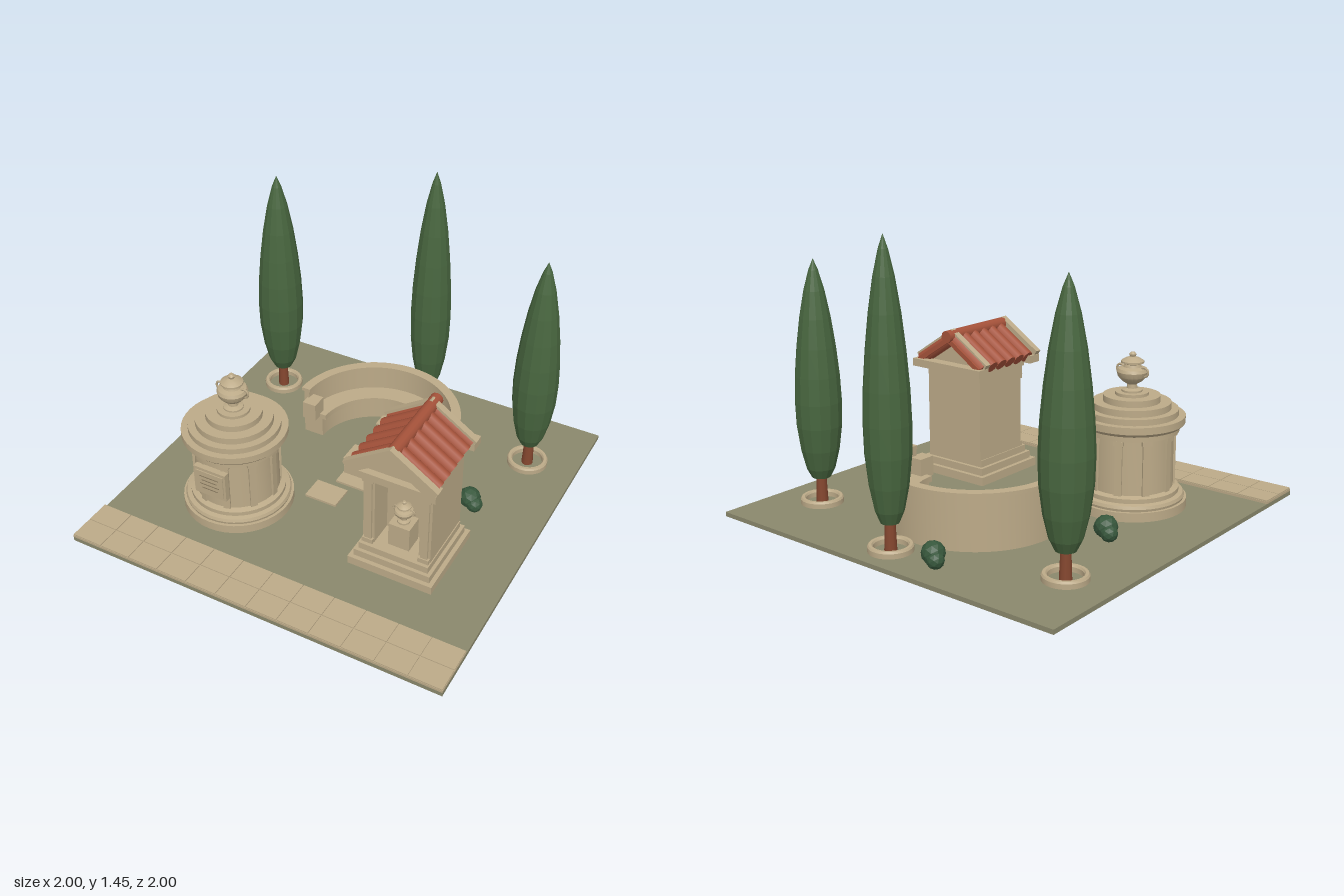
import * as THREE from 'three';
import { toCreasedNormals } from 'three/addons/utils/BufferGeometryUtils.js';

const mat = (name, color, flat = false) => {
  const m = new THREE.MeshStandardMaterial({ color, flatShading: flat });
  m.name = name;
  return m;
};

export function createModel() {
  const stone = mat('stone', 0xbcaa88);
  const carved = mat('carvedLines', 0x85765c);
  const grass = mat('ground', 0x8a886c);
  const leaf = mat('cypressGreen', 0x48663f, true);
  const bushLeaf = mat('bushGreen', 0x37573c, true);
  const bark = mat('bark', 0x85472f);
  const tile = mat('terracotta', 0xa5523a);

  const root = new THREE.Group();
  root.name = 'memorialGarden';
  const group = (name, parent, x = 0, y = 0, z = 0) => {
    const g = new THREE.Group();
    g.name = name;
    g.position.set(x, y, z);
    parent.add(g);
    return g;
  };
  const add = (name, parent, geo, m, x = 0, y = 0, z = 0) => {
    const o = new THREE.Mesh(geo, m);
    o.name = name;
    o.position.set(x, y, z);
    parent.add(o);
    return o;
  };
  // Box given by its limits on each axis
  const box = (name, parent, m, x0, x1, y0, y1, z0, z1) =>
    add(name, parent, new THREE.BoxGeometry(x1 - x0, y1 - y0, z1 - z0), m,
      (x0 + x1) / 2, (y0 + y1) / 2, (z0 + z1) / 2);
  const lathe = (pts, seg = 36) => toCreasedNormals(
    new THREE.LatheGeometry(pts.map(p => new THREE.Vector2(p[0], p[1])), seg), 0.5);

  // Plaque with carved lines, facing +z
  const plaque = (parent, x, y, z, w, h, lines) => {
    const g = group('plaque', parent, x, y, z);
    box('plaqueFrame', g, stone, -w / 2, w / 2, -h / 2, h / 2, -0.03, 0);
    box('plaqueFace', g, stone, -w * 0.43, w * 0.43, -h * 0.4, h * 0.4, 0, 0.005);
    for (let i = 0; i < lines; i++) {
      const ly = h * (0.22 - 0.44 * i / (lines - 1)), lw = w * (i % 2 ? 0.24 : 0.3);
      box('carvedLine', g, carved, -lw, lw, ly - 0.002, ly + 0.002, 0.005, 0.007);
    }
  };

  // Two-handled lidded urn, 0.2 tall at scale 1
  const urn = (parent, x, y, z, s) => {
    const g = group('urn', parent, x, y, z);
    g.scale.setScalar(s);
    add('urnBody', g, lathe([[0, 0], [0.05, 0], [0.05, 0.014], [0.026, 0.022], [0.024, 0.042],
      [0.05, 0.058], [0.07, 0.08], [0.077, 0.105], [0.07, 0.12], [0.045, 0.128], [0.04, 0.142],
      [0.056, 0.148], [0.056, 0.157], [0.036, 0.17], [0.014, 0.178], [0.018, 0.19], [0.01, 0.2], [0, 0.202]], 20), stone);
    for (const s of [-1, 1])
      add('urnHandle', g, new THREE.TorusGeometry(0.022, 0.006, 6, 14), stone, s * 0.068, 0.108, 0);
  };

  // Ground, paved strip and stepping stones
  box('ground', root, grass, -1, 1, 0, 0.022, -1, 1);
  const paving = group('paving', root);
  box('pavingBed', paving, stone, -1, 1, 0.022, 0.034, 0.75, 1);
  for (let i = 0; i < 12; i++)
    for (let j = 0; j < 2; j++) {
      const x = -1 + i / 6, z = 0.75 + j * 0.125;
      box('pavingTile', paving, stone, x + 0.002, x + 1 / 6 - 0.002, 0.034, 0.04, z + 0.002, z + 0.123);
    }
  for (const [x, z] of [[-0.065, 0.128], [0.02, -0.043], [-0.035, -0.22], [0.015, -0.4], [-0.02, -0.565]])
    box('steppingStone', root, stone, x - 0.088, x + 0.088, 0.02, 0.034, z - 0.065, z + 0.065);

  // Round tomb
  const tomb = group('roundTomb', root, -0.45, 0, 0.35);
  add('tombDrum', tomb, lathe([[0.28, 0.02], [0.28, 0.068], [0.265, 0.068], [0.268, 0.08], [0.262, 0.095],
    [0.24, 0.1], [0.24, 0.122], [0.212, 0.13], [0.208, 0.4], [0.235, 0.405], [0.235, 0.43], [0.25, 0.435],
    [0.264, 0.45], [0.264, 0.485], [0.23, 0.485], [0.23, 0.515], [0.193, 0.515], [0.193, 0.548],
    [0.14, 0.548], [0.14, 0.58], [0.082, 0.58], [0.082, 0.595], [0, 0.595]], 40), stone);
  for (let i = 0; i < 10; i++) {
    const a = (i + 0.5) * Math.PI / 5;
    const p = group('pilaster', tomb);
    p.rotation.y = a;
    box('pilasterShaft', p, stone, -0.018, 0.018, 0.12, 0.385, 0.19, 0.22);
    box('pilasterCapital', p, stone, -0.024, 0.024, 0.38, 0.402, 0.19, 0.226);
  }
  plaque(tomb, 0, 0.285, 0.24, 0.18, 0.16, 4);
  urn(tomb, 0, 0.59, 0, 1);

  // Small temple: steps, walls and open niche
  const temple = group('temple', root, 0.487, 0, 0);
  [[0.222, 0.02, 0.066], [0.2, 0.066, 0.104], [0.182, 0.104, 0.14]].forEach(([w, y0, y1]) =>
    box('templeStep', temple, stone, -w, w, y0, y1, 0.285 - w, 0.285 + w));
  box('backWall', temple, stone, -0.177, 0.177, 0.14, 0.6, 0.1, 0.3);
  box('lintel', temple, stone, -0.177, 0.177, 0.54, 0.6, 0.3, 0.444);
  box('architrave', temple, stone, -0.185, 0.185, 0.585, 0.605, 0.09, 0.452);
  for (const s of [-1, 1]) {
    const x = s * 0.147;
    box('sideWall', temple, stone, x - 0.03, x + 0.03, 0.14, 0.54, 0.3, 0.432);
    box('frontPilaster', temple, stone, x - 0.018, x + 0.018, 0.16, 0.52, 0.43, 0.444);
    box('pilasterBase', temple, stone, x - 0.028, x + 0.028, 0.14, 0.165, 0.43, 0.45);
    box('pilasterCapital', temple, stone, x - 0.028, x + 0.028, 0.515, 0.54, 0.43, 0.45);
  }
  plaque(temple, 0, 0.462, 0.315, 0.16, 0.095, 3);
  box('urnPedestal', temple, stone, -0.055, 0.055, 0.14, 0.27, 0.31, 0.41);
  urn(temple, 0, 0.27, 0.36, 0.62);

  // Gable, cornices and tiled roof
  const gable = new THREE.Shape([[-0.195, 0.62], [0.195, 0.62], [0, 0.752]].map(p => new THREE.Vector2(...p)));
  add('gable', temple, new THREE.ExtrudeGeometry(gable, { depth: 0.395, bevelEnabled: false }), stone, 0, 0, 0.095);
  box('frontCornice', temple, stone, -0.228, 0.228, 0.6, 0.64, 0.45, 0.525);
  box('rearCornice', temple, stone, -0.228, 0.228, 0.6, 0.64, 0.035, 0.11);
  box('ceiling', temple, stone, -0.19, 0.19, 0.603, 0.625, 0.1, 0.46);
  for (const s of [-1, 1]) {
    const side = group('roofSide', temple, 0, 0.817, 0);
    side.rotation.z = -s * 0.58;
    const along = (name, m, len, y0, y1, z0, z1) =>
      box(name, side, m, Math.min(0, s * len), Math.max(0, s * len), y0, y1, z0, z1);
    along('roofSlab', tile, 0.272, -0.055, -0.03, 0.055, 0.49);
    along('frontRakingCornice', stone, 0.285, -0.062, 0, 0.49, 0.525);
    along('rearRakingCornice', stone, 0.285, -0.062, 0, 0.08, 0.115);
    for (let i = 0; i < 6; i++) {
      const g = new THREE.CylinderGeometry(0.034, 0.034, 0.272, 12).rotateZ(Math.PI / 2);
      add('roofTile', side, g, tile, s * 0.139, -0.04, 0.095 + i * 0.071);
    }
  }
  add('ridgeTile', temple, new THREE.CylinderGeometry(0.032, 0.032, 0.45, 12).rotateX(Math.PI / 2), tile, 0, 0.782, 0.27);

  // Curved bench with back wall and armrests
  const bench = group('curvedBench', root, 0, 0, -0.28);
  const arc = (name, r0, r1, y0, y1) => {
    const s = new THREE.Shape();
    s.absarc(0, 0, r1, 0, Math.PI, false);
    s.absarc(0, 0, r0, Math.PI, 0, true);
    const g = new THREE.ExtrudeGeometry(s, { depth: y1 - y0, bevelEnabled: false, curveSegments: 36 });
    add(name, bench, toCreasedNormals(g.rotateX(-Math.PI / 2), 0.5), stone, 0, y0, 0);
  };
  arc('benchBack', 0.4, 0.43, 0.02, 0.285);
  arc('benchCoping', 0.395, 0.445, 0.285, 0.304);
  arc('benchSupport', 0.32, 0.41, 0.02, 0.135);
  arc('benchSeat', 0.3, 0.405, 0.135, 0.165);
  for (const s of [-1, 1])
    box('armrest', bench, stone, s * 0.373 - 0.038, s * 0.373 + 0.038, 0.15, 0.25, -0.04, 0.05);

  // Cypresses in stone rings; crown profile in fractions of radius and height
  const crown = [[0, 0], [0.4, 0.005], [0.62, 0.05], [0.83, 0.14], [0.97, 0.25], [1, 0.36], [0.95, 0.48],
    [0.83, 0.61], [0.66, 0.74], [0.44, 0.86], [0.2, 0.95], [0, 1]];
  for (const [x, z, top, r] of [[-0.757, -0.595, 1.34, 0.122], [0.04, -0.835, 1.45, 0.109], [0.74, -0.607, 1.245, 0.115]]) {
    const t = group('cypress', root, x, 0, z);
    add('trunk', t, new THREE.CylinderGeometry(0.024, 0.03, 0.15, 10), bark, 0, 0.095, 0);
    add('crown', t, new THREE.LatheGeometry(crown.map(p => new THREE.Vector2(p[0] * r, 0.15 + p[1] * (top - 0.15))), 14), leaf);
    add('treeRing', t, lathe([[0.08, 0.02], [0.106, 0.02], [0.106, 0.046], [0.1, 0.055], [0.086, 0.055], [0.08, 0.046], [0.08, 0.02]], 24), stone);
  }

  // Low bushes, each of three clumps
  for (const [x, z] of [[-0.215, -0.83], [-0.625, -0.105], [0.612, -0.147]]) {
    const b = group('bush', root, x, 0, z);
    for (const [dx, dz, r, y] of [[0, 0, 0.056, 0.076], [0.033, 0.018, 0.043, 0.058], [-0.03, -0.02, 0.042, 0.056]])
      add('bushClump', b, new THREE.IcosahedronGeometry(r, 1), bushLeaf, dx, y, dz);
  }
  return root;
}
